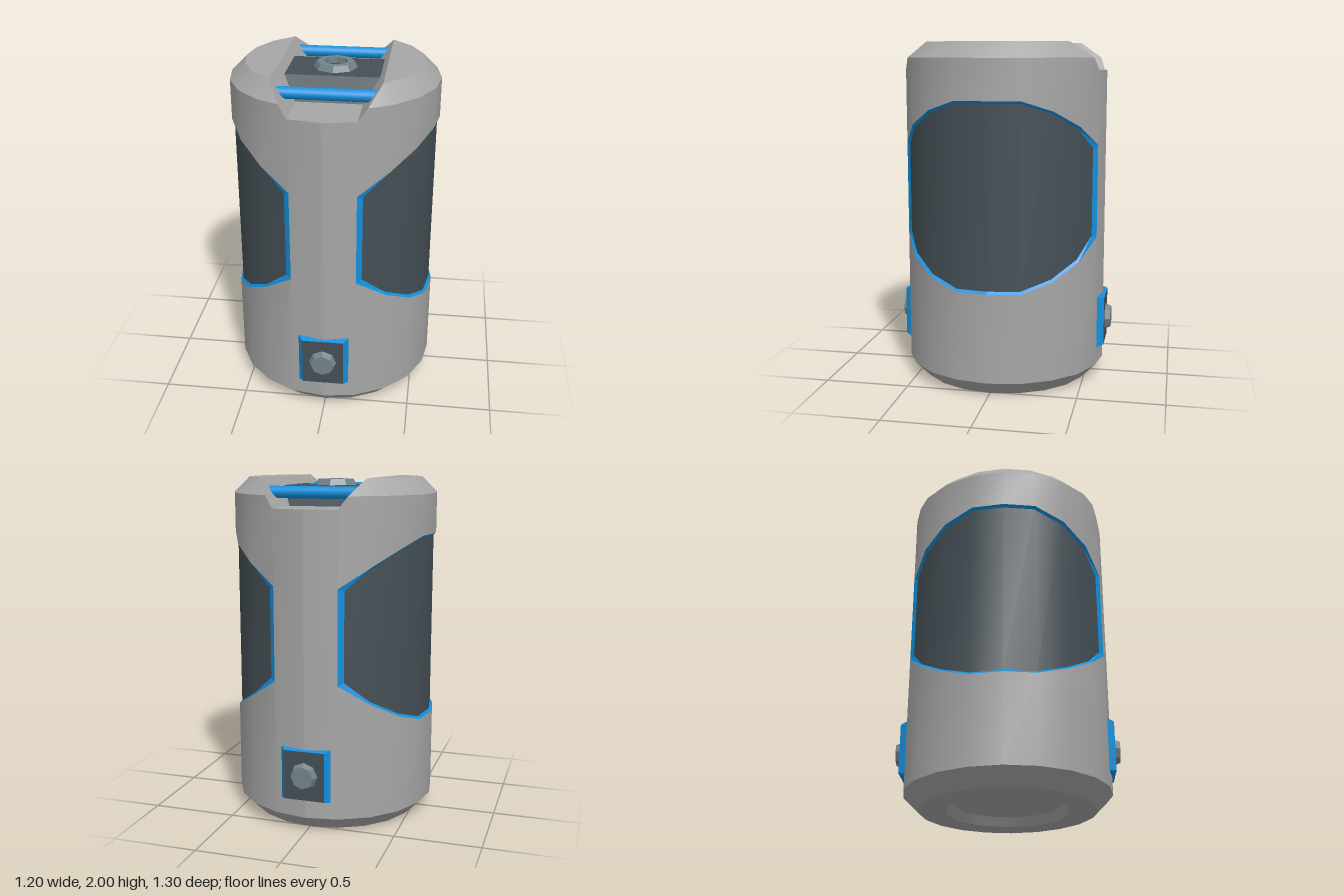
import * as THREE from 'three';
import { toCreasedNormals } from 'three/addons/utils/BufferGeometryUtils.js';

const mat = (name, color) => Object.assign(new THREE.MeshStandardMaterial({ color }), { name });

const V = (x, y, z) => new THREE.Vector3(x, y, z);
// Point on column k of a 20-sided ring, counted from the front towards +x
const col = (k, r, y) => V(r * Math.sin(k * Math.PI / 10), y, r * Math.cos(k * Math.PI / 10));

// Surface from convex polygons, each listed counter-clockwise
function surface(polys, smooth = false) {
  const pts = [];
  for (const p of polys)
    for (let i = 1; i < p.length - 1; i++) pts.push(p[0], p[i], p[i + 1]);
  const g = new THREE.BufferGeometry().setFromPoints(pts);
  g.computeVertexNormals();
  return smooth ? toCreasedNormals(g, 0.5) : g;
}

function add(parent, name, geometry, material) {
  const m = new THREE.Mesh(geometry, material);
  m.name = name;
  parent.add(m);
  return m;
}

const R = 0.6, RT = 0.51, FLOOR = 1.84, SHOULDER = 1.91, TOP = 2, MID = 1.145;
// Half height of the side window at column k
const half = k => {
  const x = R * Math.sin(k * Math.PI / 10);
  return 0.27 + 0.265 * Math.min(1, Math.max(0, (x - 0.185) / 0.385));
};

// Half of the shell: base recess, walls around the window, rim and channel
function shellHalf() {
  const polys = [];
  const base = [[0, 0.05], [0.315, 0.05], [0.35, 0], [RT, 0], [R, 0.09]];
  const lo = k => col(k, R, MID - half(k)), hi = k => col(k, R, MID + half(k));
  // Corners where the channel cuts the shoulder
  const cutF = col(1, R, SHOULDER).lerp(col(2, R, SHOULDER), 0.3);
  const cutB = col(9, R, SHOULDER).lerp(col(8, R, SHOULDER), 0.3);
  for (let k = 0; k < 10; k++) {
    const n = k + 1;
    for (let i = 0; i < base.length - 1; i++)
      polys.push([col(k, ...base[i]), col(n, ...base[i]), col(n, ...base[i + 1]), col(k, ...base[i + 1])]);
    if (k === 0 || k === 9) {
      polys.push([col(k, R, 0.09), col(n, R, 0.09), col(n, R, FLOOR), col(k, R, FLOOR)]);
      continue;
    }
    polys.push([col(k, R, 0.09), col(n, R, 0.09), lo(n), lo(k)]);
    const a = col(k, R, SHOULDER), b = col(n, R, SHOULDER);
    if (k === 1) {
      polys.push([hi(1), hi(2), b, cutF, col(1, R, FLOOR)]);
      polys.push([cutF, b, col(2, RT, TOP)]);
    } else if (k === 8) {
      polys.push([hi(8), hi(9), col(9, R, FLOOR), cutB, a]);
      polys.push([a, cutB, col(8, RT, TOP)]);
    } else {
      polys.push([hi(k), hi(n), b, a]);
      polys.push([a, b, col(n, RT, TOP), col(k, RT, TOP)]);
    }
  }
  // Flat top, channel wall and channel floor
  polys.push([2, 3, 4, 5, 6, 7, 8].map(k => col(k, RT, TOP)));
  polys.push([col(1, R, FLOOR), cutF, col(2, RT, TOP), col(8, RT, TOP), cutB, col(9, R, FLOOR)]);
  polys.push([0, 1, 9, 10].map(k => col(k, R, FLOOR)));
  return surface(polys, true);
}

// Sunken side window: returns the panel and its sloping rim
function windowParts() {
  const panel = [], rim = [];
  const outer = (k, s) => col(k, R, MID + s * half(k));
  const inner = (k, s) => col(k === 1 ? 1.2 : k === 9 ? 8.8 : k, 0.585, MID + s * (half(k) - 0.014));
  for (let k = 1; k < 9; k++) {
    const n = k + 1;
    panel.push([inner(k, -1), inner(n, -1), inner(n, 1), inner(k, 1)]);
    rim.push([outer(k, -1), outer(n, -1), inner(n, -1), inner(k, -1)]);
    rim.push([inner(k, 1), inner(n, 1), outer(n, 1), outer(k, 1)]);
  }
  rim.push([outer(1, -1), inner(1, -1), inner(1, 1), outer(1, 1)]);
  rim.push([inner(9, -1), outer(9, -1), outer(9, 1), inner(9, 1)]);
  return [surface(panel, true), surface(rim)];
}

export function createModel() {
  const shell = mat('shellGrey', 0xa5a6a5);
  const dark = mat('darkSlate', 0x444f55);
  const blue = mat('brightBlue', 0x1290de);
  const steel = mat('steelGrey', 0x73848b);

  const model = new THREE.Group();
  model.name = 'canister';

  // Bevelled plate profile on the front and back
  const rect = (w, h, z) => [[-1, -1], [1, -1], [1, 1], [-1, 1]].map(([x, y]) => V(x * w, 0.347 + y * h, z));
  const back = rect(0.15, 0.158, 0.572), face = rect(0.12, 0.145, 0.617);
  const bevels = [0, 1, 2, 3].map(i => [back[i], back[(i + 1) % 4], face[(i + 1) % 4], face[i]]);
  const [panelGeo, rimGeo] = windowParts();
  const shellGeo = shellHalf();

  // Both halves are the same, turned half a revolution
  for (const turn of [0, Math.PI]) {
    const side = new THREE.Group();
    side.name = turn ? 'rightHalf' : 'leftHalf';
    side.rotation.y = turn;
    model.add(side);
    add(side, 'shell', shellGeo, shell);
    add(side, 'sidePanel', panelGeo, dark);
    add(side, 'sidePanelRim', rimGeo, blue);

    add(side, 'plateBevel', surface(bevels), blue);
    add(side, 'plateFace', surface([face]), dark);
    const bolt = new THREE.CylinderGeometry(0.065, 0.082, 0.036, 8).toNonIndexed();
    bolt.computeVertexNormals();
    bolt.rotateX(Math.PI / 2);
    add(side, 'plateBolt', bolt, steel).position.set(0, 0.347, 0.632);

    // Cross bar over the channel, ends buried in the walls
    const bar = new THREE.CylinderGeometry(0.034, 0.034, 0.56, 12).rotateZ(Math.PI / 2);
    add(side, 'crossBar', bar, blue).position.set(0, 1.921, 0.39);
  }

  // Sloped block filling the middle of the channel
  const t = 1.951;
  const top = [V(-0.265, t, 0.17), V(0.265, t, 0.17), V(0.265, t, -0.17), V(-0.265, t, -0.17)];
  const foot = [V(-0.185, FLOOR, 0.3), V(0.185, FLOOR, 0.3), V(0.185, FLOOR, -0.3), V(-0.185, FLOOR, -0.3)];
  add(model, 'channelBlock', surface([
    top,
    [foot[0], foot[1], top[1], top[0]],
    [foot[2], foot[3], top[3], top[2]],
  ]), dark);

  // Hollow eight-sided nut on the block
  const nut = new THREE.LatheGeometry([[0.126, 1.95], [0.108, 1.985], [0.07, 1.985], [0.07, 1.95]]
    .map(p => new THREE.Vector2(...p)), 8).toNonIndexed();
  nut.computeVertexNormals();
  add(model, 'topNut', nut, steel);
  return model;
}
